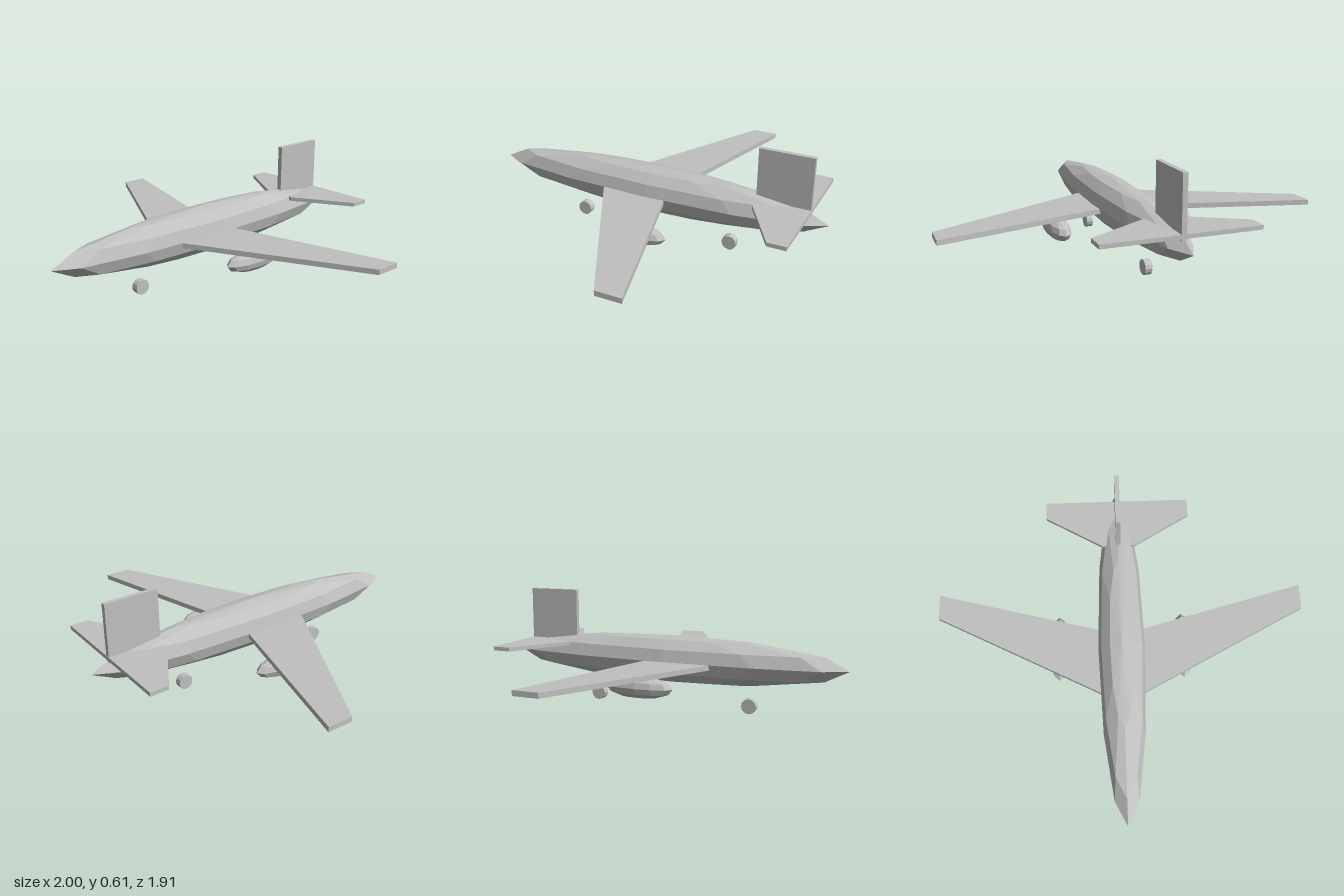
import * as THREE from 'three';

export function createModel() {
  const plane = new THREE.Group();
  plane.name = 'airplane';
  const grey = new THREE.MeshStandardMaterial({ color: 0xc0c0c0, flatShading: true });
  grey.name = 'light grey';

  const add = (name, geometry, x, y, z) => {
    const mesh = new THREE.Mesh(geometry, grey);
    mesh.name = name;
    mesh.position.set(x, y, z);
    plane.add(mesh);
    return mesh;
  };

  // Faceted ellipsoid, used by the body and the engines
  const pod = (rx, ry, rz) => new THREE.SphereGeometry(1, 12, 6).scale(rx, ry, rz);

  // Horizontal slab: right-hand-side outline of [x, z] points, mirrored across x = 0
  const slab = (half, thickness) => {
    const outline = [...half, ...half.slice().reverse().map(([x, z]) => [-x, z])];
    const shape = new THREE.Shape(outline.map(([x, z]) => new THREE.Vector2(x, -z)));
    return new THREE.ExtrudeGeometry(shape, { depth: thickness, bevelEnabled: false }).rotateX(-Math.PI / 2);
  };

  // Body
  add('fuselage', pod(0.127, 0.128, 0.955), 0, 0.262, 0);

  // Swept wings and tailplane
  add('wings', slab([[0.11, 0.257], [1, -0.203], [1, -0.34], [0.11, -0.104]], 0.027), 0, 0.235, 0);
  add('tailplane', slab([[0.09, -0.583], [0.4, -0.765], [0.4, -0.863], [0.09, -0.863]], 0.021), 0, 0.31, 0);

  // Upright fin
  add('tailFin', new THREE.BoxGeometry(0.026, 0.313, 0.286), 0, 0.4545, -0.718);

  // Engines under the wings
  for (const side of [-1, 1]) {
    add(side > 0 ? 'leftEngine' : 'rightEngine', pod(0.059, 0.058, 0.187), side * 0.34, 0.17, -0.037);
  }

  // Wheels on the centre line
  const wheel = new THREE.CylinderGeometry(0.04, 0.04, 0.037, 12).rotateZ(Math.PI / 2);
  add('frontWheel', wheel, 0, 0.04, 0.44);
  add('rearWheel', wheel, 0, 0.04, -0.44);

  return plane;
}
